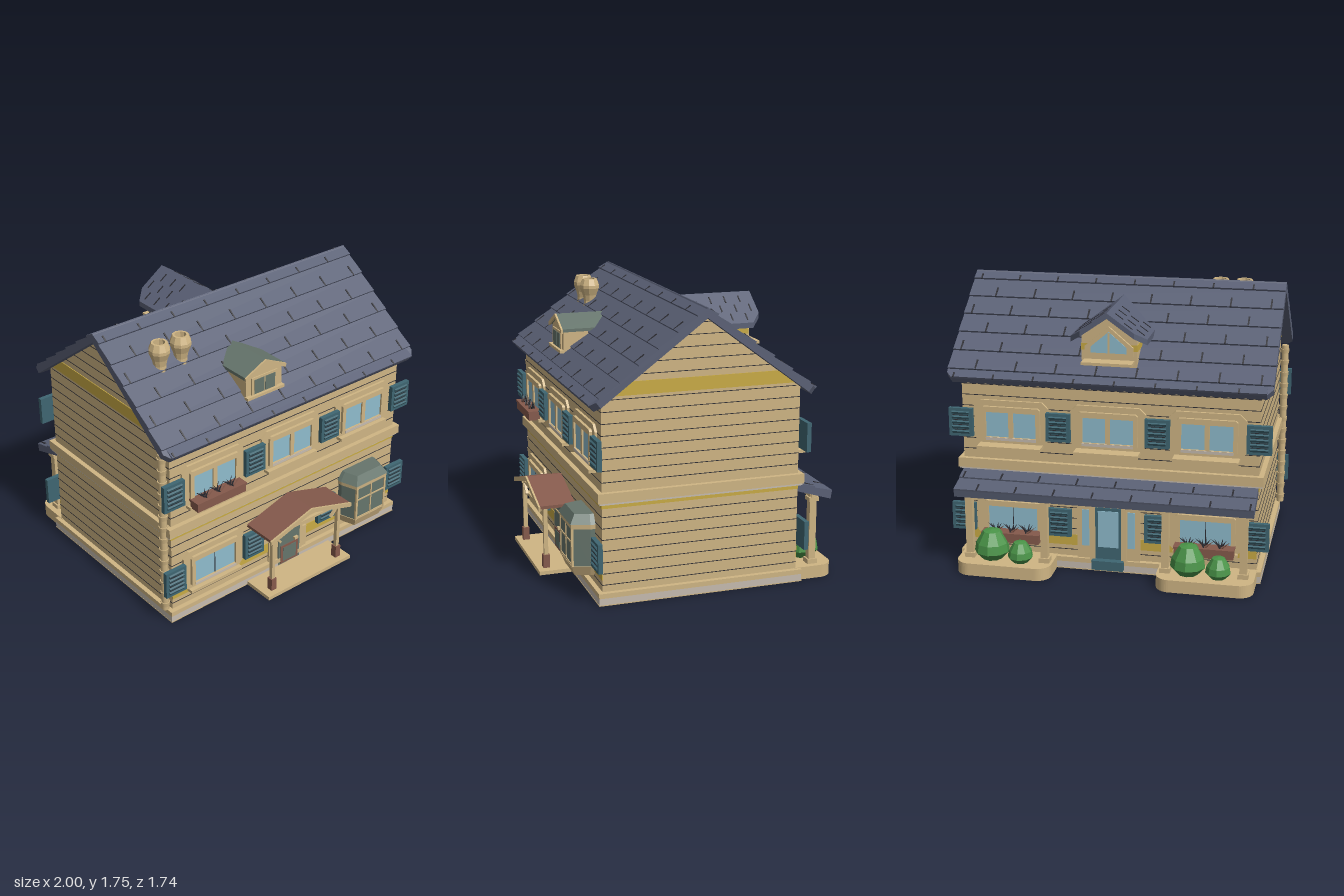
import * as THREE from 'three';
import { ConvexGeometry } from 'three/addons/geometries/ConvexGeometry.js';

const mat = (name, color) => { const m = new THREE.MeshStandardMaterial({ color }); m.name = name; return m; };
const M = {
  wall: mat('tan siding', 0xcfb584), roof: mat('slate roof', 0x5a6075), teal: mat('teal shutters', 0x3f6672),
  brick: mat('brick brown', 0x855a4c), sage: mat('grey green', 0x66756c), glass: mat('window glass', 0x8fbccd),
  yellow: mat('yellow band', 0xc9ab45), stone: mat('pale stone', 0xc6bcb0), green: mat('bush green', 0x4a9448),
  dark: mat('dark joints', 0x2c2c32),
};
const ZC = 0.01, RIDGE = 1.757, SLOPE = 0.7475, PITCH = Math.atan(SLOPE);

function add(parent, name, geo, m, x = 0, y = 0, z = 0) {
  const o = new THREE.Mesh(geo, m);
  o.name = name; o.position.set(x, y, z); parent.add(o);
  return o;
}
const box = (p, name, m, w, h, d, x, y, z) => add(p, name, new THREE.BoxGeometry(w, h, d), m, x, y, z);
const group = (p, name, x = 0, y = 0, z = 0) => {
  const g = new THREE.Group(); g.name = name; g.position.set(x, y, z); p.add(g); return g;
};
const flat = (g) => { const n = g.index ? g.toNonIndexed() : g; n.computeVertexNormals(); return n; };
const poly = (pts) => new THREE.Shape(pts.map((p) => new THREE.Vector2(...p)));
const extrude = (shape, depth) => new THREE.ExtrudeGeometry(shape, { depth, bevelEnabled: false, curveSegments: 6 });
const hull = (pts) => new ConvexGeometry(pts.map((p) => new THREE.Vector3(...p)));
// rectangle with clipped corners
const octagon = (x, y0, y1, c) => poly([[-x + c, y0], [x - c, y0], [x, y0 + c], [x, y1 - c],
  [x - c, y1], [-x + c, y1], [-x, y1 - c], [-x, y0 + c]]);

function makeWindow(p, x, y, panes, sillDepth) {
  const g = group(p, 'window', x, y, 0);
  add(g, 'outerFrame', extrude(octagon(0.235, -0.13, 0.152, 0.04), 0.016), M.wall);
  const ring = octagon(0.185, -0.105, 0.115, 0.012);
  ring.holes.push(poly([[-0.158, -0.08], [-0.158, 0.08], [0.158, 0.08], [0.158, -0.08]]));
  add(g, 'innerFrame', extrude(ring, 0.034), M.wall);
  box(g, 'glass', M.glass, 0.316, 0.16, 0.008, 0, 0, 0.018);
  if (panes > 1) box(g, 'mullion', M.wall, 0.03, 0.16, 0.016, 0, 0, 0.024);
  else box(g, 'sashLine', M.dark, 0.004, 0.16, 0.004, 0, 0, 0.022);
  box(g, 'lowerRail', M.stone, 0.32, 0.018, 0.008, 0, -0.091, 0.033);
  box(g, 'sill', M.wall, 0.4, 0.02, sillDepth, 0, -0.132, sillDepth / 2);
}

function shutter(p, x, y) {
  const g = group(p, 'shutter', x, y, 0.033);
  box(g, 'panel', M.teal, 0.152, 0.18, 0.028, 0, 0, 0);
  for (let i = -2; i <= 2; i++) box(g, 'louvre', M.teal, 0.11, 0.016, 0.012, 0, i * 0.031, 0.015).rotation.x = 0.5;
  for (let i = -2; i < 2; i++) box(g, 'louvreGap', M.dark, 0.1, 0.004, 0.003, 0, (i + 0.5) * 0.031, 0.0145);
}

function flowerBox(p, x, y, z) {
  const g = group(p, 'flowerBox', x, y, z);
  box(g, 'trough', M.brick, 0.365, 0.06, 0.075, 0, 0, 0);
  box(g, 'rim', M.brick, 0.375, 0.012, 0.085, 0, 0.026, 0);
  for (let i = 0; i < 3; i++) for (let k = 0; k < 6; k++) {
    const leaf = add(g, 'leaf', new THREE.ConeGeometry(0.008, 0.07, 4), k === 5 ? M.brick : M.dark,
      (i - 1) * 0.1 + (k - 2.5) * 0.013, 0.055, (k % 3 - 1) * 0.015);
    leaf.rotation.z = (2.5 - k) * 0.36;
  }
}

// one slope of the main roof, lying in local x (along ridge) and z (downhill)
function roofSlope(p, turn) {
  const side = group(p, 'roofSide', 0, RIDGE, ZC); side.rotation.y = turn;
  const g = group(side, 'roofSlope'); g.rotation.x = PITCH;
  const slab = extrude(poly([[-1, 0], [1, 0], [1, 0.84], [0.965, 0.88], [-0.965, 0.88], [-1, 0.84]]), 0.045).rotateX(Math.PI / 2);
  add(g, 'roofSlab', slab, M.roof, 0, -0.006, 0);
  const e = [0, 0.08, 0.227, 0.374, 0.521, 0.668, 0.815, 0.883];
  for (let i = 0; i < 7; i++) {
    const len = e[i + 1] - e[i], w = i === 6 ? 1.93 : 2;
    box(g, 'shingleCourse', M.roof, w, 0.014, len, 0, -0.007, (e[i] + e[i + 1]) / 2).rotation.x = -0.0135 / len * 0.9;
    for (let k = 0; k < 8; k++)
      box(g, 'shingleJoint', M.dark, 0.01, 0.005, len * 0.5, -0.95 + k * 0.25 + (i % 2) * 0.125, 0.0035, e[i + 1] - len * 0.25);
  }
}

// gabled roof: two slabs falling to either side of x = 0
function gableRoof(p, name, m, half, rise, t, z0, z1) {
  const s = poly([[0, 0], [half, -rise], [half, -rise - t], [0, -t], [-half, -rise - t], [-half, -rise]].reverse());
  return add(p, name, extrude(s, z1 - z0), m, 0, 0, z0);
}

function buildBody(h) {
  const W = 0.925, D = 0.62, half = (y) => Math.min(D, (1.715 - y) / SLOPE);
  const gable = extrude(poly([[-D, 0.03], [D, 0.03], [D, 1.23], [0, 1.71], [-D, 1.23]]), W * 2);
  add(h, 'walls', gable.translate(0, 0, -W).rotateY(Math.PI / 2), M.wall, 0, 0, ZC);
  for (let y = 0.12; y < 1.68; y += 0.07)
    box(h, 'sidingJoint', M.dark, W * 2 + 0.004, 0.004, half(y) * 2 + (y < 1.2 ? 0.004 : -0.05), 0, y, ZC);
  // yellow boards
  for (const s of [-1, 1]) {
    const pts = [];
    for (const x of [W, W + 0.005]) for (const y of [1.26, 1.34]) for (const k of [-1, 1])
      pts.push([s * x, y, ZC + k * (half(y) - 0.01)]);
    add(h, 'gableBand', hull(pts), M.yellow);
    box(h, 'facadeBand', M.yellow, W * 2, 0.07, 0.005, 0, 0.185, ZC + s * (D + 0.001));
  }
  box(h, 'sideBand', M.yellow, W * 2 + 0.008, 0.025, D * 2 + 0.006, 0, 0.605, ZC);
  // plinth and belt course
  box(h, 'groundPlate', M.wall, 1.91, 0.006, 1.3, 0, 0.003, ZC);
  box(h, 'plinth', M.stone, 1.908, 0.044, 1.296, 0, 0.025, ZC);
  box(h, 'plinthCap', M.wall, 1.91, 0.03, 1.3, 0, 0.062, ZC);
  box(h, 'beltBase', M.stone, 1.9, 0.012, 1.28, 0, 0.626, ZC);
  box(h, 'beltCourse', M.wall, 1.91, 0.06, 1.3, 0, 0.662, ZC);
  // downpipe
  add(h, 'downpipe', new THREE.CylinderGeometry(0.024, 0.024, 1.12, 8), M.wall, -0.957, 0.64, 0.6);
  for (let i = 0; i < 14; i++)
    add(h, 'pipeCollar', new THREE.CylinderGeometry(0.03, 0.026, 0.03, 8), M.wall, -0.957, 0.12 + i * 0.08, 0.6);
}

function buildBay(p) {
  const g = group(p, 'bayWindow', 0.615, 0, 0);
  const plan = [[-0.165, 0], [-0.165, 0.03], [-0.13, 0.135], [0.13, 0.135], [0.165, 0.03], [0.165, 0]];
  const loft = (y0, s0, y1, s1) => hull(plan.flatMap(([x, z]) => [[x * s0, y0, z * s0], [x * s1, y1, z * s1]]));
  add(g, 'bayBase', loft(0.125, 0.85, 0.19, 1.03), M.wall);
  add(g, 'bayGlass', loft(0.19, 1, 0.44, 1), M.sage);
  add(g, 'bayHead', loft(0.425, 1.03, 0.455, 1.04), M.wall);
  add(g, 'bayRoof', loft(0.455, 1.08, 0.51, 0.82), M.sage);
  for (const s of [-1, 0, 1]) box(g, 'bayMullion', M.wall, s ? 0.016 : 0.01, 0.25, 0.014, s * 0.125, 0.31, 0.133);
  for (const y of [0.2, 0.34]) box(g, 'bayRail', M.wall, 0.25, 0.01, 0.012, 0, y, 0.134);
}

function buildEntrance(p) {
  const g = group(p, 'entrance');
  box(g, 'doorFrame', M.wall, 0.24, 0.4, 0.02, 0, 0.225, 0.01);
  box(g, 'door', M.sage, 0.18, 0.39, 0.02, 0, 0.22, 0.018);
  box(g, 'doorPanel', M.brick, 0.145, 0.135, 0.006, 0, 0.1, 0.03);
  box(g, 'doorInset', M.sage, 0.11, 0.105, 0.004, 0, 0.1, 0.033);
  box(g, 'doorRail', M.wall, 0.14, 0.01, 0.006, 0, 0.29, 0.03);
  box(g, 'doorHandle', M.wall, 0.03, 0.018, 0.02, 0.05, 0.19, 0.035);
  box(g, 'porchSlab', M.wall, 0.7, 0.024, 0.24, 0, 0.012, 0.12);
  for (const s of [-1, 1]) {
    box(g, 'sidePanel', M.wall, 0.05, 0.16, 0.012, s * 0.135, 0.15, 0.008);
    box(g, 'postBase', M.brick, 0.04, 0.085, 0.042, s * 0.275, 0.066, 0.18);
    box(g, 'post', M.wall, 0.024, 0.34, 0.026, s * 0.275, 0.275, 0.18);
    box(g, 'postBrace', M.wall, 0.014, 0.1, 0.018, s * 0.245, 0.395, 0.18).rotation.z = -s * 0.7;
    box(g, 'sideBeam', M.wall, 0.022, 0.022, 0.2, s * 0.275, 0.43, 0.1);
  }
  box(g, 'tieBeam', M.wall, 0.57, 0.016, 0.022, 0, 0.433, 0.18);
  const r = group(g, 'porchRoof', 0, 0.545, 0);
  gableRoof(r, 'porchRoofSlabs', M.brick, 0.332, 0.1, 0.02, 0, 0.225);
  gableRoof(r, 'porchFascia', M.wall, 0.338, 0.102, 0.03, 0.225, 0.237);
}

function buildGardenSide(p) {
  // garden door
  box(p, 'gardenDoorFrame', M.wall, 0.4, 0.4, 0.015, 0, 0.25, 0.008);
  box(p, 'gardenDoor', M.teal, 0.17, 0.38, 0.02, 0, 0.23, 0.012);
  box(p, 'doorStep', M.teal, 0.2, 0.06, 0.05, 0, 0.05, 0.04);
  box(p, 'doorGlass', M.glass, 0.13, 0.24, 0.006, 0, 0.28, 0.023);
  for (const s of [-1, 1]) {
    box(p, 'sideLight', M.glass, 0.045, 0.24, 0.006, s * 0.145, 0.28, 0.017);
    box(p, 'doorPilaster', M.wall, 0.035, 0.42, 0.03, s * 0.1, 0.26, 0.015);
    // planter with rounded outer corners
    const x0 = -0.3, x1 = 0.3, z1 = 0.26, r = 0.09, bed = new THREE.Shape();
    bed.moveTo(x0, -0.03); bed.lineTo(x1, -0.03); bed.lineTo(x1, z1 - r);
    bed.absarc(x1 - r, z1 - r, r, 0, Math.PI / 2); bed.absarc(x0 + r, z1 - r, r, Math.PI / 2, Math.PI);
    add(p, 'planter', extrude(bed, 0.08).rotateX(Math.PI / 2), M.wall, s * 0.63, 0.08, 0);
    for (const x of [0.38, 0.86]) {
      box(p, 'gardenPost', M.wall, 0.045, 0.46, 0.045, s * x, 0.3, 0.13);
      box(p, 'gardenPostCap', M.wall, 0.065, 0.025, 0.065, s * x, 0.5, 0.13);
      box(p, 'gardenPostFoot', M.wall, 0.065, 0.03, 0.065, s * x, 0.095, 0.13);
    }
    flowerBox(p, s * 0.61, 0.205, 0.07);
  }
  const bush = [[0, 0], [0.06, 0], [0.11, 0.055], [0.1, 0.11], [0.055, 0.185], [0, 0.195]].map((v) => new THREE.Vector2(...v));
  for (const [x, z, k] of [[-0.72, 0.13, 1], [-0.53, 0.16, 0.72], [0.52, 0.13, 1], [0.71, 0.16, 0.72]])
    add(p, 'bush', flat(new THREE.LatheGeometry(bush, 9)), M.green, x, 0.075, z).scale.set(k, k, k);
  // lean-to porch roof
  const prof = poly([[0, 0.625], [0, 0.575], [0.225, 0.505], [0.232, 0.55]].map(([z, y]) => [-z, y]));
  add(p, 'leanToRoof', extrude(prof, 1.85).translate(0, 0, -0.925).rotateY(Math.PI / 2), M.roof);
  const tilt = group(p, 'leanToShingles', 0, 0.625, 0); tilt.rotation.x = Math.atan(0.075 / 0.232);
  for (let i = 0; i < 2; i++) {
    box(tilt, 'shingleCourse', M.roof, 1.85, 0.012, 0.122, 0, -0.001, 0.061 + i * 0.122).rotation.x = -0.08;
    for (let k = 0; k < 8; k++) box(tilt, 'shingleJoint', M.dark, 0.01, 0.005, 0.06, -0.9 + k * 0.24 + i * 0.12, 0.008, 0.09 + i * 0.122);
  }
  box(p, 'leanToBeam', M.wall, 1.78, 0.03, 0.035, 0, 0.525, 0.13);
}

function buildDormers(h) {
  // small front dormer
  const f = group(h, 'frontDormer', -0.18, 0, 0);
  add(f, 'dormerBody', extrude(poly([[-0.14, 1.32], [0.14, 1.32], [0.14, 1.46], [0, 1.53], [-0.14, 1.46]]), 0.35), M.wall, 0, 0, 0.24);
  box(f, 'dormerSill', M.wall, 0.29, 0.018, 0.03, 0, 1.33, 0.6);
  box(f, 'dormerFrame', M.wall, 0.2, 0.125, 0.012, 0, 1.39, 0.592);
  for (const s of [-1, 1]) box(f, 'dormerPane', M.sage, 0.076, 0.095, 0.006, s * 0.042, 1.39, 0.598);
  const fr = group(f, 'frontDormerRoof', 0, 1.552, 0);
  gableRoof(fr, 'dormerRoof', M.sage, 0.155, 0.075, 0.02, 0.2, 0.598);
  gableRoof(fr, 'dormerFascia', M.wall, 0.158, 0.076, 0.026, 0.598, 0.61);
  // large back dormer
  const b = group(h, 'backDormer'); b.rotation.y = Math.PI;
  add(b, 'dormerBody', extrude(poly([[-0.17, 1.3], [0.17, 1.3], [0.17, 1.5], [0, 1.62], [-0.17, 1.5]]), 0.43), M.wall, 0, 0, 0.15);
  box(b, 'dormerBand', M.yellow, 0.348, 0.04, 0.43, 0, 1.435, 0.367);
  box(b, 'dormerSill', M.wall, 0.31, 0.018, 0.1, 0, 1.35, 0.62);
  const gableGlass = (name, k, d, m) => add(b, name, extrude(poly([[-0.13 * k, -0.055 * k], [0.13 * k, -0.055 * k], [0.13 * k, -0.01],
    [0, 0.1 * k], [-0.13 * k, -0.01]]), d), m, 0, 1.45, 0.58);
  gableGlass('gableWindowFrame', 1.15, 0.016, M.wall);
  gableGlass('gableWindowGlass', 0.85, 0.02, M.glass);
  box(b, 'gableMullion', M.wall, 0.012, 0.14, 0.012, 0, 1.46, 0.598);
  for (const s of [-1, 1]) {
    // roof slab with a clipped outer corner
    const top = [[0, 0.05], [0, 0.655], [0.165, 0.655], [0.235, 0.59], [0.235, 0.05]], pts = [];
    for (const [x, z] of top) for (const t of [0, 0.035]) pts.push([s * x, 1.662 - x * 0.7 - t, z]);
    add(b, 'dormerRoof', hull(pts), M.roof);
    const g = group(b, 'dormerShingles', 0, 1.662, 0); g.rotation.z = -s * Math.atan(0.7);
    for (const x of [0.07, 0.15, 0.23])
      for (let k = 0; k < 3; k++) box(g, 'shingleJoint', M.dark, 0.06, 0.004, 0.008, s * x, 0.001, 0.36 + k * 0.1 + (x === 0.15 ? 0.05 : 0));
  }
}

export function createModel() {
  const h = new THREE.Group(); h.name = 'house';
  buildBody(h);
  roofSlope(h, 0); roofSlope(h, Math.PI);
  buildDormers(h);
  // chimney pots
  const pot = [[0.045, 1.48], [0.04, 1.56], [0.048, 1.6], [0.066, 1.645], [0.066, 1.665], [0.05, 1.707], [0.036, 1.707], [0.036, 1.66], [0, 1.66]]
    .map((v) => new THREE.Vector2(...v));
  for (const x of [-0.71, -0.555]) add(h, 'chimneyPot', flat(new THREE.LatheGeometry(pot, 10)), M.wall, x, 0, 0.27);
  const front = group(h, 'frontFacade', 0, 0, 0.63), back = group(h, 'backFacade', 0, 0, -0.61);
  back.rotation.y = Math.PI;
  for (const f of [front, back]) {
    for (const x of [-0.61, 0, 0.61]) makeWindow(f, x, 0.922, 2, f === front ? 0.045 : 0.1);
    for (const x of [-0.925, -0.308, 0.308, 0.925]) { shutter(f, x, 0.93); shutter(f, x, 0.31); }
    makeWindow(f, -0.61, 0.305, 1, 0.045);
  }
  makeWindow(back, 0.61, 0.305, 1, 0.045);
  flowerBox(front, -0.615, 0.822, 0.065);
  buildBay(front);
  buildEntrance(front);
  buildGardenSide(back);
  return h;
}
